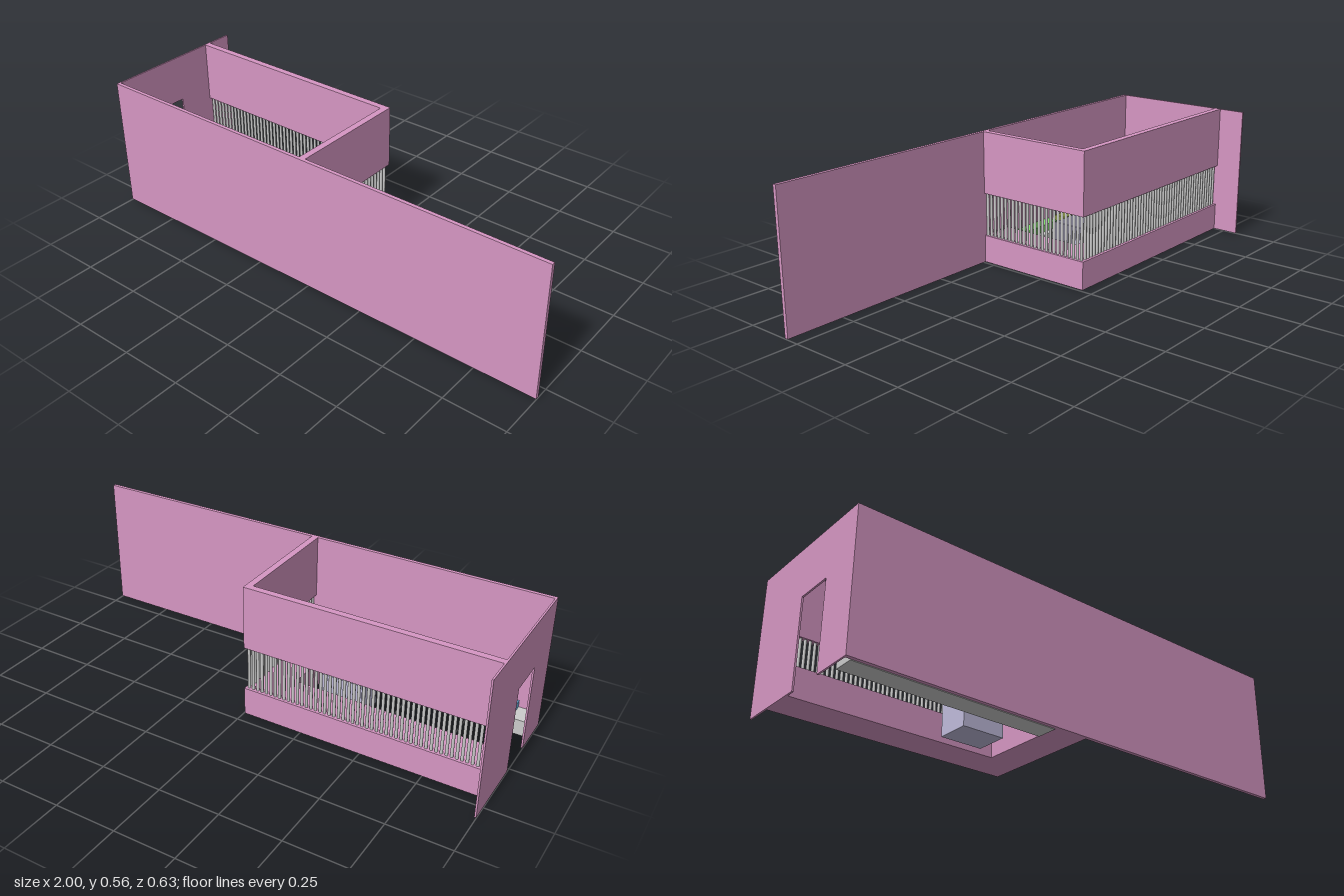
import * as THREE from 'three';

const material = (color) => new THREE.MeshStandardMaterial({ color });

// Box given by its minimum and maximum corners
function box(name, min, max, mat) {
  const size = max.map((v, i) => v - min[i]);
  const mesh = new THREE.Mesh(new THREE.BoxGeometry(...size), mat);
  mesh.position.set(...max.map((v, i) => (v + min[i]) / 2));
  mesh.name = name;
  return mesh;
}

export function createModel() {
  const model = new THREE.Group();
  model.name = 'walledRoom';
  const pink = material(0xd696c3);
  const grey = material(0xcccccc);
  const base = 0.003, top = 0.555, sill = 0.118, lintel = 0.298;
  const back = -0.205, east = -0.005, west = -0.993, front = 0.3;

  // Long front wall
  model.add(box('frontWall', [-1, base, front], [1, top, 0.315], pink));

  // Side wall with a doorway, drawn in the z-y plane
  const outline = new THREE.Shape([
    [-0.315, base], [-0.02, base], [-0.02, 0.355], [0.14, 0.355],
    [0.14, base], [front, base], [front, top], [-0.315, top],
  ].map(([z, y]) => new THREE.Vector2(-z, y)));
  const sideWall = new THREE.Mesh(
    new THREE.ExtrudeGeometry(outline, { depth: 0.007, bevelEnabled: false }), pink);
  sideWall.rotation.y = Math.PI / 2;
  sideWall.position.x = -1;
  sideWall.name = 'doorwayWall';
  model.add(sideWall);

  // Thin upper walls
  model.add(box('upperBackWall', [west, lintel, back], [east, top, -0.178], pink));
  model.add(box('upperEndWall', [-0.032, lintel, -0.178], [east, top, front], pink));

  // Deep low walls forming a ledge
  model.add(box('lowerBackWall', [west, base, back], [east, sill, -0.06], pink));
  model.add(box('lowerEndWall', [-0.15, base, -0.06], [east, sill, front], pink));

  // Window bars along the end and the back
  const bars = new THREE.Group();
  bars.name = 'windowBars';
  const barShape = new THREE.CylinderGeometry(0.006, 0.006, lintel - sill, 12);
  const addBar = (x, z) => {
    const bar = new THREE.Mesh(barShape, grey);
    bar.position.set(x, (sill + lintel) / 2, z);
    bar.name = 'bar';
    bars.add(bar);
  };
  const pitch = 0.0193;
  for (let i = 0; i < 26; i++) addBar(-0.018, 0.294 - i * pitch);
  for (let i = 1; i < 51; i++) addBar(-0.018 - i * pitch, -0.19);
  model.add(bars);

  // Bench against the front wall with three coloured pads
  model.add(box('bench', [-0.975, 0, 0.215], [-0.15, 0.065, front], grey));
  [['bluePad', -0.92, 0x6cb4e4], ['yellowPad', -0.665, 0xc8dc58], ['greenPad', -0.41, 0x7be065]]
    .forEach(([name, x, color]) =>
      model.add(box(name, [x, 0.065, 0.242], [x + 0.203, 0.095, 0.297], material(color))));

  // Free-standing block in the middle of the room
  model.add(box('centreBlock', [-0.41, base, -0.017], [-0.235, 0.158, 0.115], material(0xc0bcdc)));

  return model;
}
